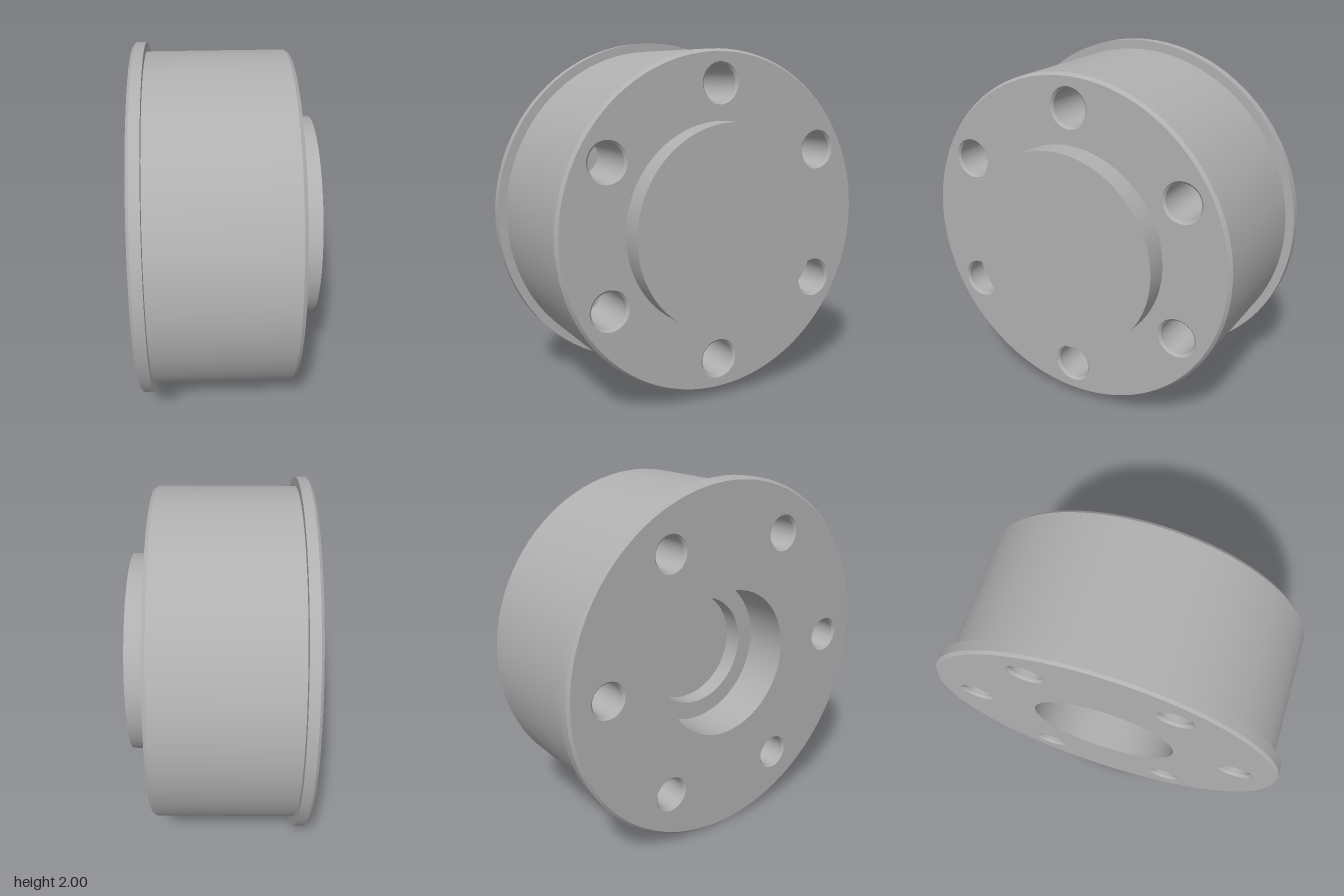
import * as THREE from 'three';
import { mergeGeometries } from 'three/addons/utils/BufferGeometryUtils.js';

const SEG = 96;
const BOLT_CIRCLE = 0.77;
const BACK = -0.49, FRONT = 0.36;

// Turned surface with a sharp edge at every profile point: [radius, height].
function turned(profile, segments = SEG) {
  const bands = [];
  for (let i = 0; i < profile.length - 1; i++) {
    const pair = [profile[i], profile[i + 1]].map(([r, y]) => new THREE.Vector2(r, y));
    bands.push(new THREE.LatheGeometry(pair, segments));
  }
  return mergeGeometries(bands);
}

// Centres of six evenly spaced holes.
function holeCentres(offset) {
  return Array.from({ length: 6 }, (_, i) => {
    const a = offset + (i * Math.PI) / 3;
    return [BOLT_CIRCLE * Math.cos(a), BOLT_CIRCLE * Math.sin(a)];
  });
}

// Flat ring pierced by the bolt holes, lying in the xy plane.
function piercedRing(outer, inner, holeRadius, centres) {
  const shape = new THREE.Shape().absarc(0, 0, outer, 0, Math.PI * 2, false);
  shape.holes.push(new THREE.Path().absarc(0, 0, inner, 0, Math.PI * 2, true));
  for (const [x, y] of centres) {
    shape.holes.push(new THREE.Path().absarc(x, y, holeRadius, 0, Math.PI * 2, true));
  }
  return new THREE.ShapeGeometry(shape, SEG);
}

// Blind hole with a chamfered lip, opening towards +y.
function blindHole(radius, depth) {
  const bore = radius - 0.013;
  return turned([[radius, 0], [bore, -0.013], [bore, -depth], [0, -depth]], SEG);
}

export function createModel() {
  const steel = new THREE.MeshStandardMaterial({ color: 0xb0b0b0 });
  steel.name = 'steel grey';

  // The turning axis is built along y, then laid along x.
  const hub = new THREE.Group();
  hub.name = 'hub';
  hub.rotation.z = -Math.PI / 2;
  hub.position.y = 1;

  const add = (name, geometry, parent = hub) => {
    const mesh = new THREE.Mesh(geometry, steel);
    mesh.name = name;
    parent.add(mesh);
    return mesh;
  };

  // Flange and drum wall
  add('flange', turned([[0.985, BACK], [1, BACK + 0.015], [1, -0.42], [0.95, -0.42]]));
  add('drum', turned([[0.95, -0.42], [0.95, FRONT - 0.02], [0.935, FRONT]]));

  // Raised boss
  add('boss', turned([[0.57, FRONT], [0.57, 0.49], [0, 0.49]]));

  // Front face and its holes
  const frontCentres = holeCentres(0);
  add('frontFace', piercedRing(0.935, 0.57, 0.113, frontCentres)
    .rotateX(-Math.PI / 2).translate(0, FRONT, 0));
  const frontHoles = new THREE.Group();
  frontHoles.name = 'frontHoles';
  const frontHole = blindHole(0.113, 0.35);
  for (const [x, y] of frontCentres) {
    add('frontHole', frontHole, frontHoles).position.set(x, FRONT, -y);
  }

  // Back face and its holes, staggered between the front ones
  const backCentres = holeCentres(Math.PI / 6);
  add('backFace', piercedRing(0.985, 0.41, 0.1, backCentres)
    .rotateX(Math.PI / 2).translate(0, BACK, 0));
  const backHoles = new THREE.Group();
  backHoles.name = 'backHoles';
  const backHole = blindHole(0.1, 0.35).rotateX(Math.PI);
  for (const [x, y] of backCentres) {
    add('backHole', backHole, backHoles).position.set(x, BACK, y);
  }
  hub.add(frontHoles, backHoles);

  // Stepped bore in the back
  const bore = turned([[0.41, 0], [0.41, -0.25], [0.31, -0.25], [0.31, -0.35], [0, -0.35]]);
  add('steppedBore', bore.rotateX(Math.PI)).position.y = BACK;

  const model = new THREE.Group();
  model.name = 'flangedHub';
  model.add(hub);
  return model;
}
